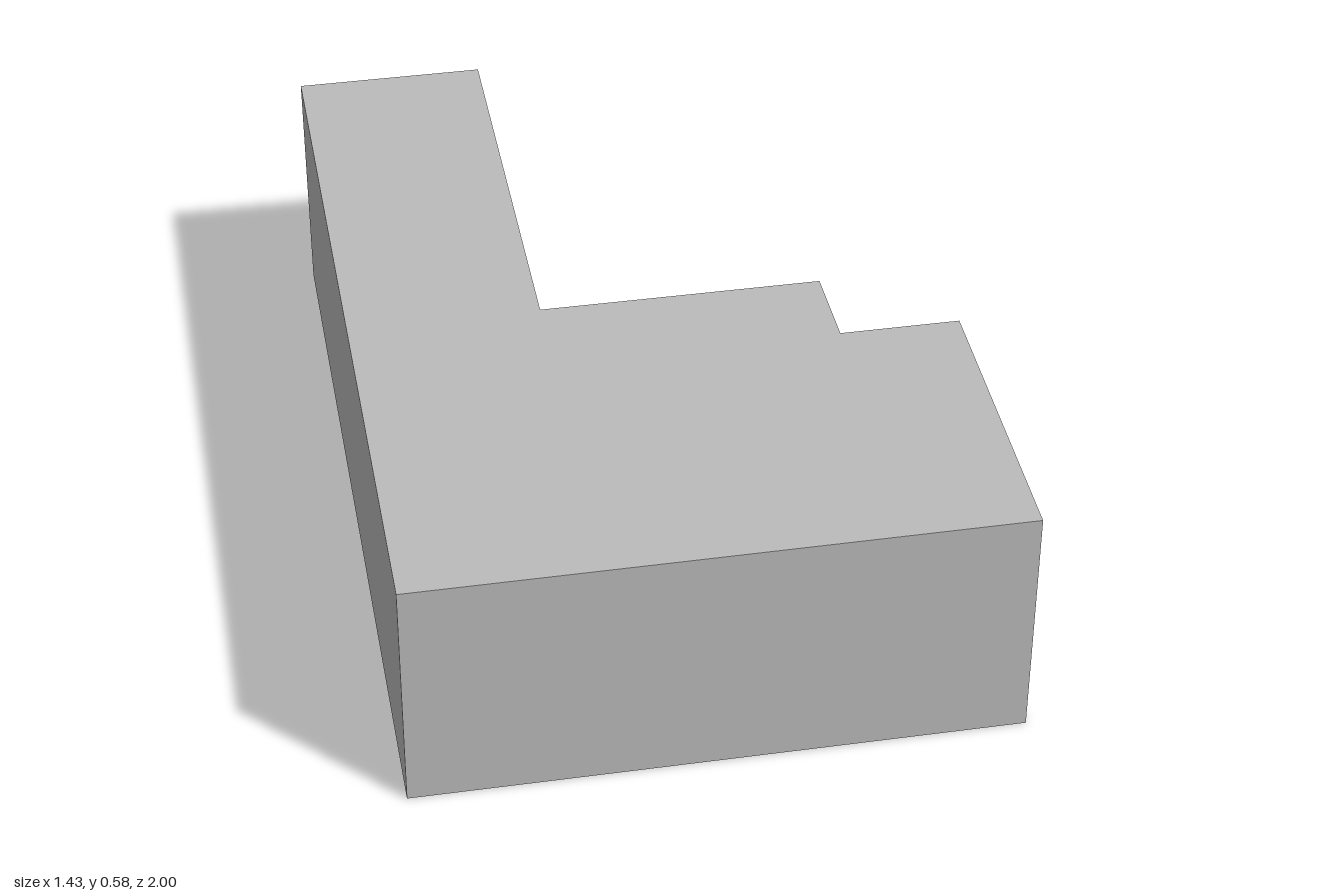
import * as THREE from 'three';

const HEIGHT = 0.58;

// Footprint corners as [x, z], starting at the back right corner
const FOOTPRINT = [
  [-0.714, -0.99], [-0.267, -1], [-0.246, 0.047], [0.409, 0.033],
  [0.417, 0.241], [0.695, 0.235], [0.712, 0.967], [-0.672, 1],
];

export function createModel() {
  const model = new THREE.Group();
  model.name = 'buildingShell';
  const grey = new THREE.MeshStandardMaterial({ color: 0xbbbbbb, side: THREE.DoubleSide });
  grey.name = 'plain grey';

  // Flat roof
  const outline = new THREE.Shape(FOOTPRINT.map(([x, z]) => new THREE.Vector2(x, -z)));
  const roof = new THREE.Mesh(new THREE.ShapeGeometry(outline).rotateX(-Math.PI / 2), grey);
  roof.name = 'roof';
  roof.position.y = HEIGHT;
  model.add(roof);

  // One thin outward-facing wall per footprint edge; the underside stays open
  const walls = new THREE.Group();
  walls.name = 'walls';
  FOOTPRINT.forEach(([bx, bz], i) => {
    const [ax, az] = FOOTPRINT[(i + 1) % FOOTPRINT.length];
    const dx = bx - ax, dz = bz - az;
    const wall = new THREE.Mesh(new THREE.PlaneGeometry(Math.hypot(dx, dz), HEIGHT), grey);
    wall.name = `wall${i + 1}`;
    wall.position.set((ax + bx) / 2, HEIGHT / 2, (az + bz) / 2);
    wall.rotation.y = Math.atan2(-dz, dx);
    walls.add(wall);
  });
  model.add(walls);

  return model;
}
